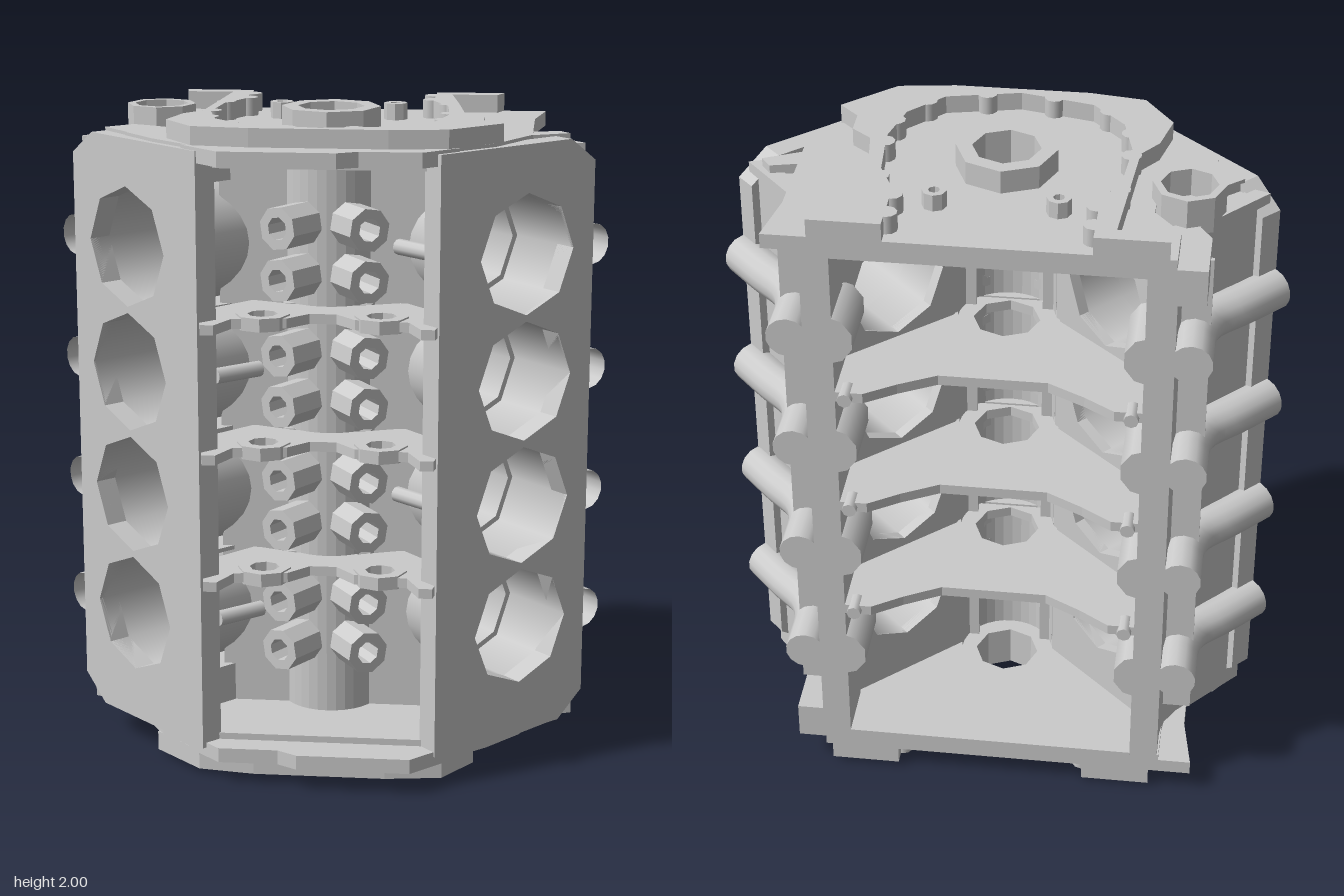
import * as THREE from 'three';

const TILT = 0.757;                                  // bank angle about y
const BORES = [0.445, 0.828, 1.212, 1.595];
const WEBS = [0.625, 1.015, 1.405];
const flat = new THREE.MeshStandardMaterial({ color: 0xcccccc, flatShading: true, side: THREE.DoubleSide });
const smooth = new THREE.MeshStandardMaterial({ color: 0xcccccc, side: THREE.DoubleSide });

function add(parent, name, geo, mat = flat) {
  const m = new THREE.Mesh(geo, mat);
  m.name = name;
  parent.add(m);
  return m;
}

function polygonHole(x, y, r, sides = 8) {
  const pts = [];
  for (let i = 0; i < sides; i++) {
    const a = (i / sides) * Math.PI * 2;
    pts.push(new THREE.Vector2(x + r * Math.cos(a), y + r * Math.sin(a)));
  }
  return new THREE.Path(pts);
}

// Plate with an (x, z) outline between two heights; holes are [x, z, r]
function plate(parent, name, pts, y0, y1, holes = []) {
  const s = new THREE.Shape(pts.map(([x, z]) => new THREE.Vector2(x, -z)));
  holes.forEach(([x, z, r]) => s.holes.push(polygonHole(x, -z, r)));
  const g = new THREE.ExtrudeGeometry(s, { depth: y1 - y0, bevelEnabled: false });
  g.rotateX(-Math.PI / 2).translate(0, y0, 0);
  return add(parent, name, g);
}

// Right half outline, completed by its mirror image
const mirrored = (half) => [...half, ...half.map(([x, z]) => [-x, z]).reverse()];
const sided = (pts, s) => pts.map(([x, z]) => [x * s, z]);

// Hollow round along +y, from y = 0 to h
function pipe(parent, name, outer, inner, h) {
  const p = [[inner, 0], [outer, 0], [outer, h], [inner, h], [inner, 0]].map(([x, y]) => new THREE.Vector2(x, y));
  return add(parent, name, new THREE.LatheGeometry(p, 8));
}

function rod(parent, name, a, b, r, sides = 14) {
  const from = new THREE.Vector3(...a), d = new THREE.Vector3(...b).sub(from);
  const m = add(parent, name, new THREE.CylinderGeometry(r, r, d.length(), sides), smooth);
  m.position.copy(from).addScaledVector(d, 0.5);
  m.quaternion.setFromUnitVectors(new THREE.Vector3(0, 1, 0), d.normalize());
  return m;
}

// Deck, cylinders and crankcase roof of one bank, in the frame of its deck
function cylinderBank(s) {
  const bank = new THREE.Group();
  bank.name = s > 0 ? 'leftCylinderBank' : 'rightCylinderBank';
  bank.position.set(0.595 * s, 0, 0.175);
  bank.rotation.y = TILT * s;
  const slab = (name, pts, z0, z1, r) => {
    const shape = new THREE.Shape(pts.map(([x, y]) => new THREE.Vector2(x * s, y)));
    BORES.forEach((y) => shape.holes.push(polygonHole(0, y, r)));
    const g = new THREE.ExtrudeGeometry(shape, { depth: z1 - z0, bevelEnabled: false });
    add(bank, name, g.translate(0, 0, z0));
  };
  const tube = (name, y, r, z0, z1, sides) => {
    const g = new THREE.CylinderGeometry(r, r, z1 - z0, sides, 1, true);
    add(bank, name, g.rotateX(Math.PI / 2).translate(0, y, (z0 + z1) / 2), smooth);
  };
  slab('deck', [[-0.336, 0.1], [0.165, 0.1], [0.262, 0.18], [0.262, 1.85], [0.165, 1.92], [-0.336, 1.92]], -0.07, 0, 0.182);
  slab('crankcaseRoof', [[-0.22, 0.1], [0.23, 0.1], [0.23, 1.9], [-0.22, 1.9]], -0.42, -0.385, 0.164);
  for (const y of BORES) {
    tube('upperBore', y, 0.182, -0.25, 0, 8);
    tube('lowerBore', y, 0.164, -0.42, -0.25, 8);
    add(bank, 'boreStep', new THREE.RingGeometry(0.164, 0.182, 8).translate(0, y, -0.25));
    tube('cylinderJacket', y, 0.19, -0.41, -0.06, 28);
  }
  // Walls between and beyond the cylinders
  [[0.1, 0.255], [0.63, 0.643], [1.013, 1.027], [1.397, 1.41], [1.785, 1.9]].forEach(([a, b]) => {
    const wall = add(bank, 'cylinderSeparator', new THREE.BoxGeometry(0.3, b - a, 0.36));
    wall.position.set(0, (a + b) / 2, -0.23);
  });
  return bank;
}

// Outer crankcase wall with its ribs
function sideWall(s) {
  const g = new THREE.Group();
  g.name = s > 0 ? 'leftSide' : 'rightSide';
  plate(g, 'crankcaseWall', sided([[0.755, 0], [0.64, -0.13], [0.57, -0.21], [0.535, -0.27], [0.525, -0.35], [0.525, -0.45],
    [0.44, -0.45], [0.44, -0.27], [0.52, -0.19], [0.7, 0.02]], s), 0.1, 1.9);
  plate(g, 'wallRib', sided([[0.5, -0.29], [0.615, -0.29], [0.615, -0.305], [0.5, -0.305]], s), 0.22, 1.85);
  for (const y of BORES) {
    const path = new THREE.CatmullRomCurve3([[0.786, -0.012], [0.69, -0.117], [0.6, -0.21], [0.572, -0.29], [0.57, -0.37], [0.57, -0.45]]
      .map(([x, z]) => new THREE.Vector3(x * s, y, z)));
    add(g, 'boltRib', new THREE.TubeGeometry(path, 14, 0.062, 14), smooth);
    // Bolt boss widening the pan rail on both sides
    rod(g, 'panBoltBoss', [0.46 * s, y, -0.25], [0.46 * s, y, -0.45], 0.08, 10);
    rod(g, 'outerBoltBoss', [0.57 * s, y, -0.4], [0.57 * s, y, -0.45], 0.062);
  }
  for (const y of WEBS) rod(g, 'dowel', [0.41 * s, y, -0.4], [0.41 * s, y, -0.47], 0.022, 8);
  return g;
}

// Valley floor strip, bitten out around the cylinders
function valleyFloor(parent, s) {
  const pts = [[0.1 * s, 1.9], [0.1 * s, 0.1]];
  for (let i = 0; i <= 90; i++) {
    const y = 0.1 + i * 0.02;
    const near = Math.min(...BORES.map((b) => Math.abs(y - b))) / 0.182;
    pts.push([s * Math.min(0.33, near < 1 ? 0.496 - 0.25 * Math.sqrt(1 - near * near) : 0.33), y]);
  }
  const shape = new THREE.Shape(pts.map(([x, y]) => new THREE.Vector2(x, y)));
  const g = new THREE.ExtrudeGeometry(shape, { depth: 0.012, bevelEnabled: false });
  add(parent, 'valleyFloor', g.translate(0, 0, 0.064));
}

// End wall with its raised cover rail, drawn for the top end
function endCap(name) {
  const g = new THREE.Group();
  g.name = name;
  const cam = [[0, 0, 0.1]];
  plate(g, 'endWall', mirrored([[0.53, -0.45], [0.53, -0.25], [0.72, -0.02], [0.34, 0.36]]), 1.865, 1.895, cam);
  plate(g, 'coverFace', [[0.63, -0.45], [0.6, -0.27], [0.6, 0.06], [0.5, 0.24], [0.34, 0.385], [-0.34, 0.385], [-0.5, 0.24],
    [-0.6, 0.12], [-0.44, 0], [-0.44, -0.2], [-0.52, -0.3], [-0.52, -0.45]], 1.885, 1.93, cam);
  plate(g, 'valleyLip', [[0.4, 0.34], [0.3, 0.435], [0.12, 0.435], [0.06, 0.47], [-0.28, 0.47], [-0.4, 0.35]], 1.885, 1.93);
  // Rail is open towards the pan side
  plate(g, 'coverRail', [[0.5, -0.45], [0.48, -0.4], [0.34, -0.4], [0.37, -0.2], [0.4, 0.03], [0.46, 0.08], [0.46, 0.16], [0.52, 0.22],
    [0.37, 0.36], [0.2, 0.385], [-0.2, 0.385], [-0.37, 0.36], [-0.46, 0.23], [-0.43, 0.1], [-0.38, 0.03], [-0.35, -0.4], [-0.49, -0.4],
    [-0.5, -0.45], [-0.29, -0.45], [-0.29, -0.25], [-0.34, -0.14], [-0.355, 0.05], [-0.32, 0.2], [-0.22, 0.31], [0, 0.36],
    [0.22, 0.31], [0.32, 0.2], [0.355, 0.05], [0.34, -0.14], [0.29, -0.25], [0.29, -0.45]], 1.925, 1.985);
  [[0.285, -0.38], [0.285, -0.28], [0.34, -0.18], [0.355, 0.02], [0.345, 0.15], [0.27, 0.28], [0.1, 0.345]].forEach(([x, z]) => {
    for (const s of [-1, 1]) rod(g, 'railBoltBoss', [x * s, 1.92, z], [x * s, 1.985, z], 0.03, 10);
  });
  for (const s of [-1, 1]) pipe(g, 'smallBoss', 0.036, 0.017, 0.06).position.set(0.175 * s, 1.92, -0.235);
  pipe(g, 'camBoss', 0.148, 0.1, 0.08).position.y = 1.92;
  pipe(g, 'cornerBoss', 0.105, 0.082, 0.11).position.set(-0.53, 1.875, -0.12);
  plate(g, 'bossArm', [[-0.45, 0.03], [-0.6, -0.05], [-0.68, 0.02], [-0.56, 0.16]], 1.89, 1.93);
  plate(g, 'bossBracket', [[-0.51, -0.45], [-0.605, -0.45], [-0.605, -0.27], [-0.56, -0.2], [-0.51, -0.25]], 1.785, 1.9);
  plate(g, 'cornerStrut', [[0.44, 0], [0.68, -0.06], [0.71, -0.02], [0.46, 0.1]], 1.885, 1.925);
  return g;
}

export function createModel() {
  const model = new THREE.Group();
  model.name = 'engineBlock';
  for (const s of [-1, 1]) {
    model.add(cylinderBank(s), sideWall(s));
    valleyFloor(model, s);
    // Lifter bosses lean out from the cam tunnel
    for (const y of BORES) for (const dy of [-0.08, 0.075]) {
      const lifter = pipe(model, 'lifterBoss', 0.066, 0.035, 0.13);
      lifter.position.set(0.067 * s, y + dy, 0.13);
      lifter.quaternion.setFromUnitVectors(new THREE.Vector3(0, 1, 0), new THREE.Vector3(0.53 * s, 0, 0.848));
    }
  }
  // Short oil drains on alternate cylinders
  BORES.forEach((y, i) => {
    const s = i % 2 ? 1 : -1;
    rod(model, 'oilDrain', [0.21 * s, y, 0.09], [0.33 * s, y, 0.2], 0.024, 10);
  });
  // Cam tunnel, open towards the crankcase
  const arch = [[0.135, 0.1], [0.147, 0.1], [0.147, 1.9], [0.135, 1.9]].map(([x, y]) => new THREE.Vector2(x, y));
  add(model, 'camTunnel', new THREE.LatheGeometry(arch, 16, -Math.PI / 2, Math.PI));

  // Valley webs and crankcase bulkheads
  for (const y of WEBS) {
    plate(model, 'valleyWeb', mirrored([[0.1, 0.12], [0.23, 0.07], [0.42, 0.29], [0.35, 0.37], [0.34, 0.43], [0.3, 0.43],
      [0.26, 0.34], [0.1, 0.32], [0.04, 0.25]]), y - 0.015, y + 0.015, [[0.175, 0.28, 0.045], [-0.175, 0.28, 0.045]]);
    for (const s of [-1, 1]) pipe(model, 'webRing', 0.08, 0.045, 0.04).position.set(0.175 * s, y - 0.02, 0.28);
    plate(model, 'bulkhead', mirrored([[0.13, 0.11], [0.16, 0], [0.45, -0.27], [0.45, -0.45], [0.36, -0.45], [0.27, -0.39],
      [0.16, -0.33]]), y - 0.016, y + 0.016, [[0, 0, 0.1]]);
  }

  // The two ends are the same part turned half round
  const bottom = endCap('bottomEnd');
  bottom.rotation.z = Math.PI;
  bottom.position.y = 2;
  model.add(endCap('topEnd'), bottom);
  return model;
}
